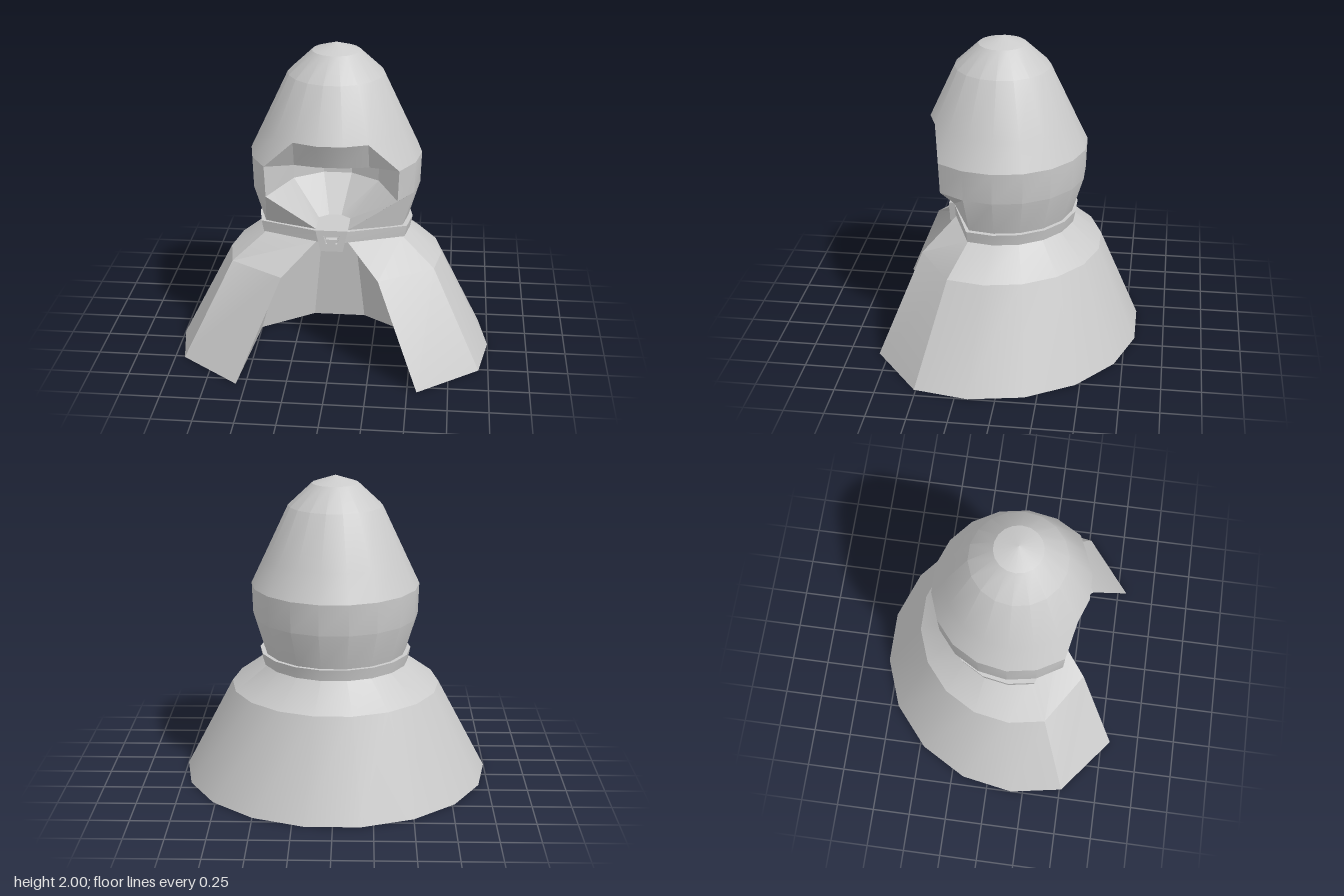
import * as THREE from 'three';
import { toCreasedNormals, mergeGeometries } from 'three/addons/utils/BufferGeometryUtils.js';

const CREASE = 0.42;

// Add the mirrored -x half to a list of points running from the +x front to the back
const mirror = half => half.concat(half.map(([x, y, z]) => [-x, y, z]).reverse());

// Point on an 18-sided ring; 0 degrees is +x, 90 is the front
const polar = (r, cz, y, deg) => {
  const a = THREE.MathUtils.degToRad(deg);
  return [r * Math.cos(a), y, cz + r * Math.sin(a)];
};

// Half ring from a start angle round to the middle of the back
function halfRing(r, cz, y, start = 20) {
  const pts = [];
  for (let d = start; d >= -80; d -= 20) pts.push(polar(r, cz, y, d));
  return pts;
}

// Skin a grid of rows, skipping collapsed triangles
function skin(rows, closed = false) {
  const pos = [];
  const same = (p, q) => p.every((v, i) => Math.abs(v - q[i]) < 1e-6);
  const tri = (p, q, r) => {
    if (!same(p, q) && !same(q, r) && !same(p, r)) pos.push(...p, ...q, ...r);
  };
  for (let i = 0; i + 1 < rows.length; i++) {
    const n = rows[i].length;
    for (let j = 0; j < (closed ? n : n - 1); j++) {
      const k = (j + 1) % n;
      tri(rows[i][j], rows[i][k], rows[i + 1][k]);
      tri(rows[i][j], rows[i + 1][k], rows[i + 1][j]);
    }
  }
  return fromPositions(pos);
}

// Flat cap over a level outline, facing up (1) or down (-1)
function cap(ring, dir) {
  const flat = ring.map(p => new THREE.Vector2(p[0], p[2]));
  const pos = [];
  for (const [a, b, c] of THREE.ShapeUtils.triangulateShape(flat, [])) {
    const u = flat[b].clone().sub(flat[a]), v = flat[c].clone().sub(flat[a]);
    const up = -u.cross(v);
    const order = up * dir > 0 ? [a, b, c] : [a, c, b];
    order.forEach(i => pos.push(...ring[i]));
  }
  return fromPositions(pos);
}

function fromPositions(pos) {
  const g = new THREE.BufferGeometry();
  g.setAttribute('position', new THREE.Float32BufferAttribute(pos, 3));
  return g;
}

export function createModel() {
  const group = new THREE.Group();
  const material = new THREE.MeshStandardMaterial({ color: 0xcccccc, side: THREE.DoubleSide });
  const add = (name, ...parts) => {
    const mesh = new THREE.Mesh(toCreasedNormals(mergeGeometries(parts), CREASE), material);
    mesh.name = name;
    group.add(mesh);
  };

  // Cape: round outside, thick wall, faceted inside, open at the front
  const capeRing = (y, r, cz, front, inner) => {
    const at = ([x, z]) => [x, y, z];
    return [
      ...mirror([at(front), ...halfRing(r, cz, y)]),
      ...mirror(inner.map(at)).reverse(),
    ];
  };
  const cape = [
    capeRing(0, 1, 0.17, [0.56, 0.81], [[0.5, 0.07], [0.17, -0.16]]),
    capeRing(0.62, 0.68, 0.11, [0.3, 0.56], [[0.33, 0.06], [0.11, -0.09]]),
    capeRing(0.79, 0.46, 0.08, [0.1, 0.37], [[0.09, 0.3], [0.04, 0.28]]),
    capeRing(0.83, 0.44, 0.08, [0.1, 0.37], [[0.09, 0.3], [0.04, 0.28]]),
  ];
  add('cape', skin(cape, true), cap(cape[0], -1), cap(cape[3], 1));

  // Hood shell: lower body with the face cut out, then the full crown
  const HZ = 0.075;
  const temple = polar(0.54, HZ, 1.3, 40);
  const cheek = polar(0.53, HZ, 1.1, 40);
  const chin = [0.1, 0.88, 0.38];
  const brimSide = polar(0.455, HZ, 1.48, 60);
  const brimFront = polar(0.455, HZ, 1.48, 80);
  const body = [
    [chin, chin, ...halfRing(0.46, HZ, 0.86)],
    [cheek, cheek, ...halfRing(0.533, HZ, 1.1)],
    [temple, temple, ...halfRing(0.54, HZ, 1.3)],
    [brimSide, ...halfRing(0.455, HZ, 1.48, 40)],
  ].map(mirror);
  const crown = [[0.455, 1.48], [0.3, 1.81], [0.15, 1.95], [0, 2]]
    .map(([r, y]) => mirror(halfRing(r, HZ, y, 80)));
  add('hood', skin(body), skin(crown, true));

  // Hood lining: brow underside, then the cheeks and back wall
  const innerTop = [[0.27, 1.29, 0.09], [0.09, 1.29, -0.03]];
  const brow = [
    [temple, brimSide, brimFront],
    [temple, [0.23, 1.31, 0.4], [0.08, 1.32, 0.455]],
    [innerTop[0], innerTop[0], innerTop[1]],
  ].map(mirror);
  const wall = [
    [temple, ...innerTop],
    [cheek, [0.27, 1.1, 0.09], [0.09, 1.1, -0.03]],
    [chin, [0.1, 0.88, 0.2], [0.04, 0.88, 0.15]],
  ].map(mirror);
  add('hoodLining', skin(brow), skin(wall), cap(wall[2], 1));

  // Collar band around the neck, straight towards the clasp
  const band = [
    [0.43, 0.79, 0.35], [0.475, 0.79, 0.385], [0.49, 0.865, 0.39],
    [0.43, 0.865, 0.35], [0.43, 0.79, 0.35],
  ].map(([r, y, z]) => mirror([[0.06, y, z], ...halfRing(r, 0.08, y)]));
  add('collarBand', skin(band));

  // Clasp: tapered plate with a tapered window and a small stud
  const taper = (Type, top, bottom, yTop, yBottom) => new Type([
    [-bottom, yBottom], [bottom, yBottom], [top, yTop], [-top, yTop],
  ].map(p => new THREE.Vector2(...p)));
  const plate = taper(THREE.Shape, 0.1, 0.07, 0.885, 0.745);
  plate.holes.push(taper(THREE.Path, 0.05, 0.035, 0.85, 0.795));
  const extrude = (shape, depth, z) =>
    new THREE.ExtrudeGeometry(shape, { depth, bevelEnabled: false }).translate(0, 0, z);
  add('clasp',
    extrude(plate, 0.05, 0.365),
    extrude(taper(THREE.Shape, 0.05, 0.035, 0.85, 0.795), 0.03, 0.365));
  add('claspStud', extrude(taper(THREE.Shape, 0.035, 0.025, 0.832, 0.8), 0.04, 0.39));

  return group;
}
